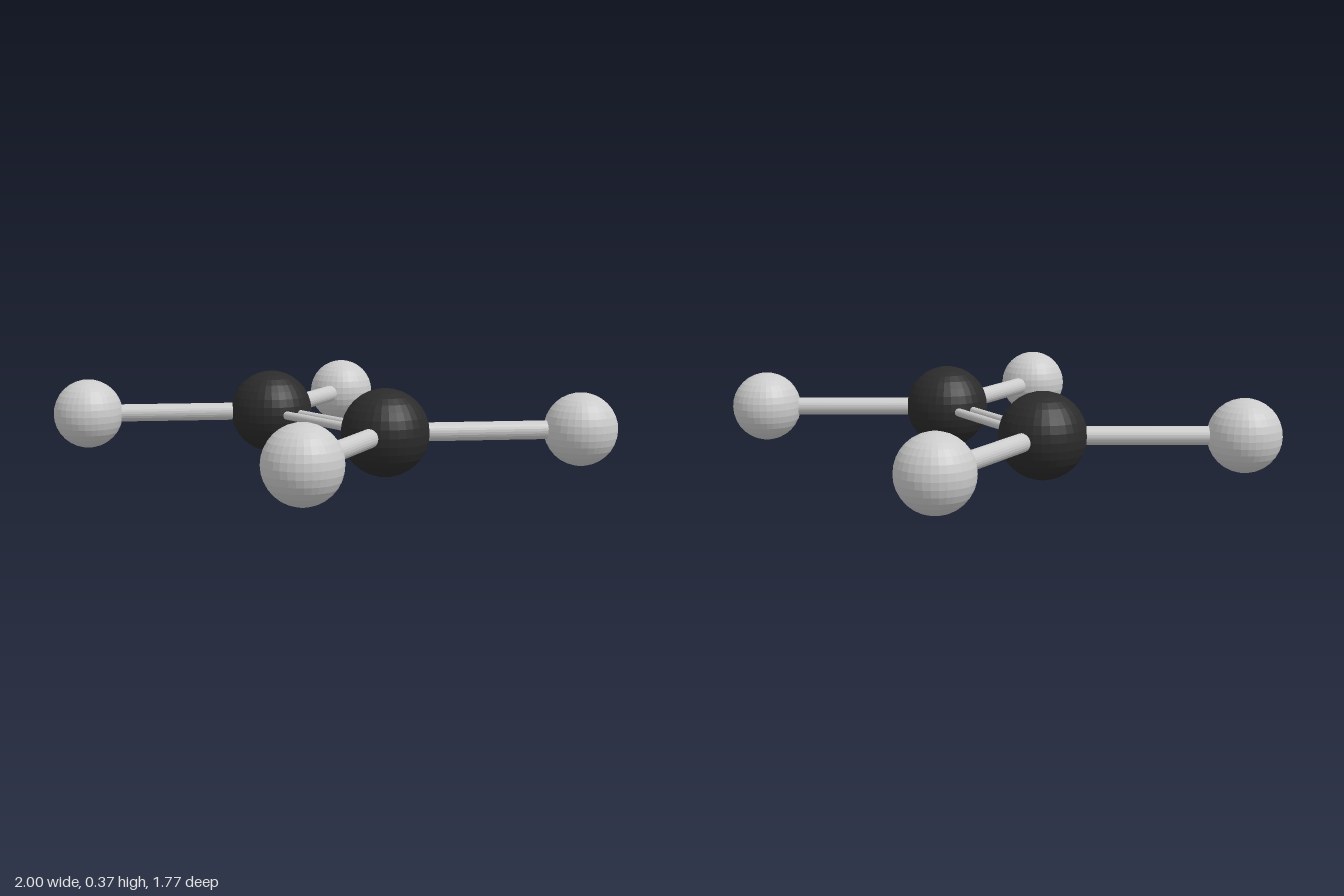
import * as THREE from 'three';

export function createModel() {
  const model = new THREE.Group();
  model.name = 'ballAndStickMolecule';

  const grey = new THREE.MeshStandardMaterial({ color: 0xcccccc, flatShading: true });
  const dark = new THREE.MeshStandardMaterial({ color: 0x2b2b2b, flatShading: true });
  const Y = 0.187;

  function addBall(name, center, radius, material) {
    const ball = new THREE.Mesh(new THREE.SphereGeometry(radius, 32, 16), material);
    ball.name = name;
    ball.position.copy(center);
    model.add(ball);
  }

  // Cylinder running from point a to point b
  function addRod(name, a, b, radius) {
    const dir = b.clone().sub(a);
    const rod = new THREE.Mesh(new THREE.CylinderGeometry(radius, radius, dir.length(), 24), grey);
    rod.name = name;
    rod.position.copy(a).add(b).multiplyScalar(0.5);
    rod.quaternion.setFromUnitVectors(new THREE.Vector3(0, 1, 0), dir.normalize());
    model.add(rod);
  }

  for (const sx of [1, -1]) {
    const side = sx > 0 ? 'left' : 'right';
    const core = new THREE.Vector3(sx * 0.421, Y, 0);
    addBall(side + 'CoreBall', core, 0.187, dark);

    // Two outer balls per core, each on a single thick rod
    for (const sz of [1, -1]) {
      const end = sz > 0 ? 'Front' : 'Back';
      const outer = new THREE.Vector3(sx * 0.843, Y, sz * 0.73);
      addBall(side + end + 'OuterBall', outer, 0.157, grey);
      addRod(side + end + 'Rod', core, outer, 0.04);
    }
  }

  // Pair of thin parallel rods joining the cores
  for (const sz of [1, -1]) {
    addRod(
      sz > 0 ? 'frontDoubleRod' : 'backDoubleRod',
      new THREE.Vector3(-0.421, Y, sz * 0.037),
      new THREE.Vector3(0.421, Y, sz * 0.037),
      0.019
    );
  }

  return model;
}
